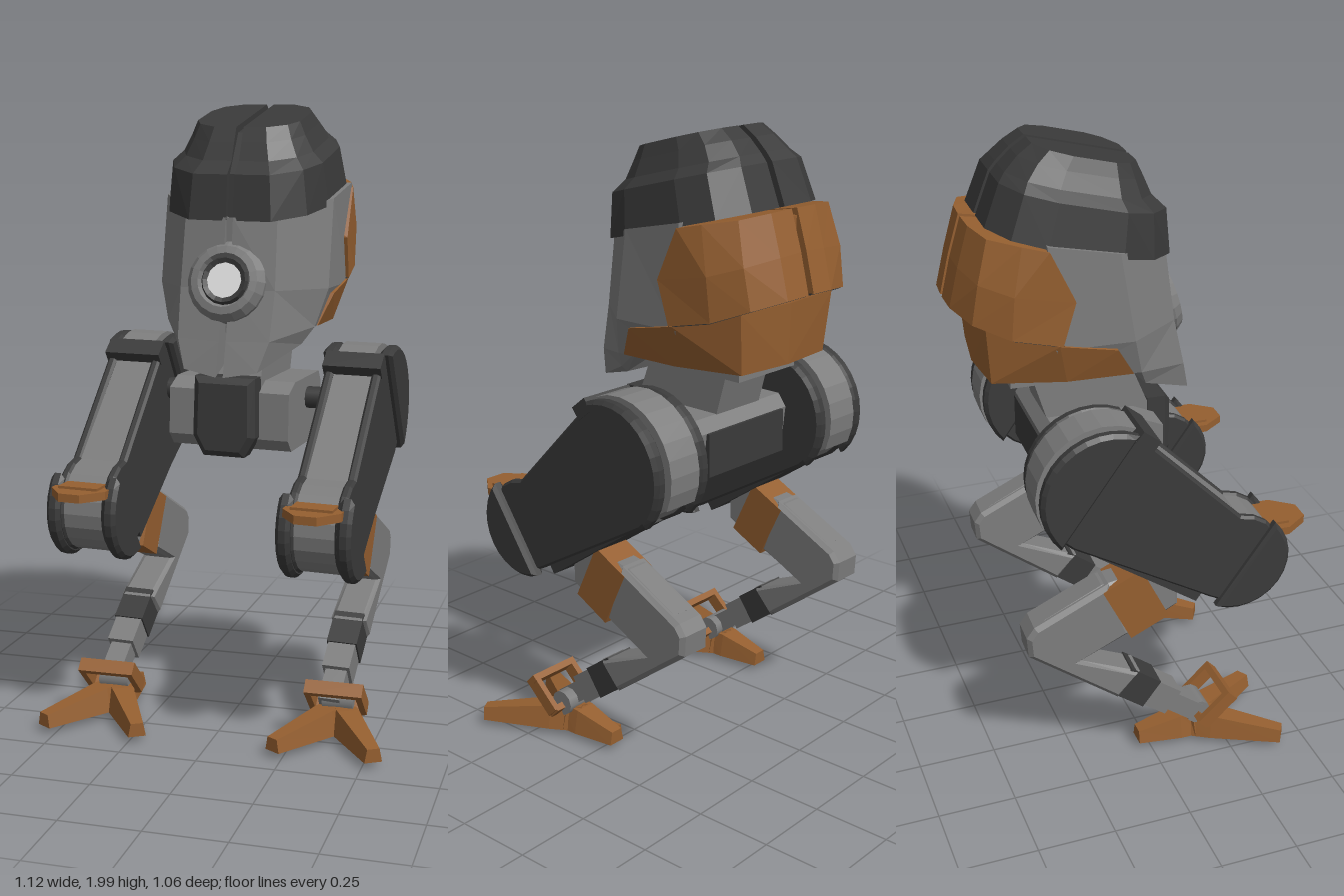
import * as THREE from 'three';

const material = (name, color) => {
  const m = new THREE.MeshStandardMaterial({ color });
  m.name = name;
  return m;
};

export function createModel() {
  const gray = material('gray metal', 0x7d7d7d);
  const dark = material('dark metal', 0x3a3a3a);
  const orange = material('burnt orange', 0x955f30);
  const white = material('lens white', 0xe6e6e6);

  const root = new THREE.Group();
  root.name = 'walker';
  // Upper machine stands slightly turned and leaning over the planted feet
  const machine = new THREE.Group();
  machine.name = 'machine';
  machine.rotation.set(0, -0.046, -0.015);
  machine.position.set(-0.015, 0, -0.006);
  root.add(machine);

  const add = (parent, name, geometry, mat, x = 0, y = 0, z = 0) => {
    const mesh = new THREE.Mesh(geometry, mat);
    mesh.name = name;
    mesh.position.set(x, y, z);
    parent.add(mesh);
    return mesh;
  };
  const box = (parent, name, w, h, d, mat, x, y, z) =>
    add(parent, name, new THREE.BoxGeometry(w, h, d), mat, x, y, z);

  // Faceted solid through rings of points, closed at both ends
  function loft(rings) {
    const n = rings[0].length, pos = [];
    let volume = 0;
    const tri = (a, b, c) => {
      pos.push([a, b, c]);
      volume += new THREE.Vector3(...a).dot(new THREE.Vector3(...b).cross(new THREE.Vector3(...c)));
    };
    for (let r = 0; r < rings.length - 1; r++) {
      for (let i = 0; i < n; i++) {
        const j = (i + 1) % n, A = rings[r], B = rings[r + 1];
        tri(A[i], A[j], B[j]);
        tri(A[i], B[j], B[i]);
      }
    }
    const last = rings[rings.length - 1];
    for (let i = 1; i < n - 1; i++) {
      tri(rings[0][0], rings[0][i + 1], rings[0][i]);
      tri(last[0], last[i], last[i + 1]);
    }
    const flat = pos.map(t => (volume < 0 ? [t[0], t[2], t[1]] : t)).flat(2);
    const g = new THREE.BufferGeometry();
    g.setAttribute('position', new THREE.Float32BufferAttribute(flat, 3));
    g.computeVertexNormals();
    return g;
  }
  const halves = (parent, name, rings, mat) => {
    for (const s of [1, -1])
      add(parent, name + (s > 0 ? 'Left' : 'Right'),
        loft(rings.map(r => r.map(([x, y, z]) => [s * x, y, z]))), mat);
  };

  // Side outline in (z, y), extruded across x and centred
  function sideSolid(points, width, bevel = 0) {
    const shape = new THREE.Shape(points.map(p => new THREE.Vector2(...p)));
    const depth = width - 2 * bevel;
    const g = new THREE.ExtrudeGeometry(shape, {
      depth, bevelEnabled: bevel > 0, bevelThickness: bevel, bevelSize: bevel, bevelOffset: -bevel, bevelSegments: 1,
    });
    return g.translate(0, 0, -depth / 2).rotateY(-Math.PI / 2);
  }
  // Box running between two (z, y) points
  function beam(parent, name, [z0, y0], [z1, y1], w, h, mat) {
    const m = box(parent, name, w, h, Math.hypot(z1 - z0, y1 - y0), mat, 0, (y0 + y1) / 2, (z0 + z1) / 2);
    m.rotation.x = Math.atan2(y0 - y1, z1 - z0);
    return m;
  }
  const arc = ([z, y], r, from, to, n) => Array.from({ length: n + 1 }, (_, i) => {
    const a = from + (to - from) * i / n;
    return [z + r * Math.cos(a), y + r * Math.sin(a)];
  });

  // ---- Head ----
  const head = new THREE.Group();
  head.name = 'head';
  head.position.x = 0.008;
  machine.add(head);
  const gap = 0.012;

  // Tilted split cap
  const cap = new THREE.Group();
  cap.name = 'cap';
  cap.position.set(0, 1.7, -0.125);
  cap.rotation.x = 0.24;
  head.add(cap);
  const capRing = (y, hx, f, b) => [
    [gap, y, f], [hx * 0.5, y, f], [hx * 0.85, y, f * 0.72], [hx, y, f * 0.35],
    [hx, y, b * 0.45], [hx * 0.85, y, b * 0.8], [hx * 0.5, y, b], [gap, y, b]];
  halves(cap, 'capShell', [
    capRing(0, 0.268, 0.293, -0.293), capRing(0.135, 0.25, 0.25, -0.275),
    capRing(0.165, 0.215, 0.2, -0.26), capRing(0.215, 0.188, 0.165, -0.228),
    capRing(0.256, 0.17, 0.134, -0.19)], dark);
  add(cap, 'capSeam', sideSolid([[0.27, 0], [0.225, 0.13], [0.12, 0.235], [-0.185, 0.235], [-0.25, 0.13], [-0.27, 0]], 0.026), dark);

  // Face shell with a hanging chin
  halves(head, 'faceShell', [
    [[gap, 1.64, 0.16], [0.15, 1.655, 0.14], [0.28, 1.70, -0.04], [0.282, 1.745, -0.26], [gap, 1.745, -0.26]],
    [[gap, 1.42, 0.18], [0.155, 1.42, 0.17], [0.282, 1.42, 0.005], [0.28, 1.42, -0.24], [gap, 1.42, -0.24]],
    [[gap, 1.26, 0.215], [0.15, 1.265, 0.205], [0.248, 1.30, 0.035], [0.24, 1.31, -0.2], [gap, 1.31, -0.2]],
    [[gap, 1.15, 0.24], [0.12, 1.17, 0.23], [0.212, 1.245, 0.06], [0.2, 1.305, 0], [gap, 1.305, 0]]], gray);
  box(head, 'faceSeam', 0.026, 0.36, 0.3, gray, 0, 1.46, 0.0);

  // Rear armour with a dark underside, and jaw
  const armourRim = [[0.29, 1.435, -0.22], [0.272, 1.465, -0.37], [0.215, 1.505, -0.475], [0.1, 1.522, -0.518], [gap, 1.525, -0.523], [gap, 1.435, -0.2]];
  halves(head, 'rearArmour', [
    [[0.288, 1.73, -0.255], [0.262, 1.745, -0.33], [0.205, 1.76, -0.42], [0.1, 1.77, -0.452], [gap, 1.772, -0.456], [gap, 1.73, -0.2]],
    [[0.292, 1.57, -0.18], [0.277, 1.60, -0.36], [0.222, 1.63, -0.455], [0.1, 1.645, -0.488], [gap, 1.65, -0.493], [gap, 1.57, -0.16]],
    armourRim], orange);
  halves(head, 'armourUnderside', [0.002, -0.004].map(dy =>
    armourRim.map(([x, y, z]) => [x * 0.985, y + dy, z * 0.985])), dark);
  box(head, 'rearSeam', 0.026, 0.24, 0.25, orange, 0, 1.63, -0.33);
  for (const s of [1, -1])
    add(head, 'jaw', loft([
      [[0.286, 1.40, -0.05], [0.287, 1.435, -0.23], [0.21, 1.49, -0.435], [0, 1.49, -0.45], [0, 1.42, -0.05]],
      [[0.25, 1.30, 0.01], [0.245, 1.30, -0.2], [0.19, 1.30, -0.42], [0, 1.30, -0.44], [0, 1.30, 0.01]],
    ].map(r => r.map(([x, y, z]) => [s * x, y, z]))), orange);

  // Eye, tipped slightly upward
  const eye = new THREE.Group();
  eye.name = 'eye';
  eye.position.set(0, 1.447, 0.19);
  eye.rotation.x = Math.PI / 2 - 0.26;
  head.add(eye);
  const lathe = (pts, n) => {
    const g = new THREE.LatheGeometry(pts.map(p => new THREE.Vector2(...p)), n).toNonIndexed();
    g.computeVertexNormals();
    return g;
  };
  add(eye, 'eyeRing', lathe([[0.127, -0.06], [0.127, -0.01], [0.108, 0.016], [0.085, 0.02], [0.075, 0.003]], 20), gray);
  add(eye, 'eyeInnerRing', lathe([[0.078, 0.003], [0.07, 0.018], [0.055, 0.012], [0.053, 0]], 16), dark);
  add(eye, 'lens', new THREE.CylinderGeometry(0.056, 0.056, 0.009, 12), white, 0, 0.008, 0);

  // ---- Neck and pelvis ----
  box(machine, 'neckPlate', 0.26, 0.06, 0.3, gray, 0, 1.28, -0.2);
  add(machine, 'neck', sideSolid([[0.03, 1.28], [-0.28, 1.28], [-0.22, 1.08], [0.12, 1.08], [0.05, 1.25]], 0.2), gray);
  add(machine, 'pelvis', sideSolid([[0.12, 1.09], [0.05, 1.12], [-0.23, 1.12], [-0.26, 1.08], [-0.24, 0.93], [-0.19, 0.9], [0.08, 0.9], [0.12, 0.94]], 0.4), gray);
  const bulge = new THREE.Shape([[-0.1, 1.14], [-0.104, 0.95], [-0.068, 0.885], [0.068, 0.885], [0.104, 0.95], [0.1, 1.14]]
    .reverse().map(p => new THREE.Vector2(...p)));
  add(machine, 'pelvisFront', new THREE.ExtrudeGeometry(bulge, {
    depth: 0.06, bevelThickness: 0.02, bevelSize: 0.02, bevelOffset: -0.02, bevelSegments: 1,
  }), dark, 0, 0, 0.1);
  box(machine, 'pelvisBackPanel', 0.35, 0.14, 0.04, dark, 0, 1.01, -0.25);
  add(machine, 'hipAxle', new THREE.CylinderGeometry(0.036, 0.036, 0.62, 10).rotateZ(Math.PI / 2), dark, 0, 1.05, -0.1);

  // ---- Legs ----
  const hip = [-0.138, 1.015], knee = [0.278, 0.722];
  const axis = Math.atan2(knee[1] - hip[1], knee[0] - hip[0]);
  // Rounded bar, slightly waisted above the knee
  const capsule = (r1, r2) => [
    ...arc(knee, r2, axis - Math.PI / 2, axis + Math.PI / 2 + 0.55, 12),
    ...arc(hip, r1, axis + Math.PI / 2 - 0.1, axis + 1.5 * Math.PI, 12)];

  for (const s of [1, -1]) {
    const leg = new THREE.Group();
    leg.name = s > 0 ? 'leftLeg' : 'rightLeg';
    leg.position.x = s * 0.374;
    machine.add(leg);

    // Thigh: pale core between dark side plates, with thick end rims
    add(leg, 'thighCore', sideSolid(capsule(0.19, 0.145), 0.15), gray);
    add(leg, 'hipDrum', sideSolid(arc(hip, 0.22, axis + 1.75, axis + 4.2, 10), 0.12), gray);
    for (const e of [1, -1]) {
      add(leg, 'thighPlate', sideSolid(capsule(0.2, 0.152), 0.03, 0.008), dark).position.x = e * 0.077;
      add(leg, 'hipRim', sideSolid(arc(hip, 0.215, axis + 1.75, axis + 4.53, 14), 0.045, 0.012), dark).position.x = e * 0.092;
      add(leg, 'kneeRim', sideSolid(arc(knee, 0.168, axis - 1.4, axis + 1.4, 12), 0.045, 0.012), dark).position.x = e * 0.094;
    }
    beam(leg, 'thighUnderside', [-0.18, 0.84], [0.16, 0.61], 0.17, 0.05, dark);
    beam(leg, 'thighBand', [-0.045, 1.199], [0.008, 1.158], 0.19, 0.045, dark);

    // Knee guard
    const guard = new THREE.Shape([[-0.09, -0.33], [0.09, -0.33], [0.09, -0.44], [0.035, -0.512], [-0.035, -0.512], [-0.09, -0.44]]
      .map(p => new THREE.Vector2(...p)));
    add(leg, 'kneeGuard', new THREE.ExtrudeGeometry(guard, { depth: 0.026, bevelEnabled: false })
      .rotateX(-Math.PI / 2), orange, 0, 0.782, 0.012);
    box(leg, 'kneeGuardTop', 0.13, 0.012, 0.08, orange, 0, 0.81, 0.42);

    // Shin bending backwards, with clamp and cuff
    add(leg, 'shinUpper', sideSolid([[0.1, 0.72], [-0.15, 0.675], [-0.34, 0.58], [-0.25, 0.43], [0, 0.505], [0.1, 0.56]], 0.092, 0.01), gray);
    add(leg, 'shinLower', sideSolid([[-0.13, 0.682], [-0.37, 0.565], [-0.395, 0.53], [-0.39, 0.462],
      [-0.1, 0.245], [-0.025, 0.33], [-0.225, 0.415], [-0.06, 0.488]], 0.118, 0.014), gray);
    beam(leg, 'shinClamp', [0.02, 0.628], [-0.105, 0.566], 0.12, 0.205, orange);
    beam(leg, 'shinCuff', [-0.085, 0.305], [0.015, 0.232], 0.1, 0.105, dark);
    beam(leg, 'ankleSleeve', [0, 0.243], [0.09, 0.178], 0.09, 0.095, gray);
    beam(leg, 'ankleShaft', [0.05, 0.205], [0.18, 0.11], 0.07, 0.065, gray);

    // Foot: two spread front toes, a heel spur and a staple-shaped guard
    const foot = new THREE.Group();
    foot.name = s > 0 ? 'leftFoot' : 'rightFoot';
    foot.position.set(s * 0.378, 0, 0.15);
    root.add(foot);
    const section = (x, z, dx, dz, w, y0, y1) => {
      const l = Math.hypot(dx, dz), px = dz / l * w / 2, pz = -dx / l * w / 2;
      return [[x - px, y0, z - pz], [x + px, y0, z + pz], [x + px * 0.7, y1, z + pz * 0.7], [x - px * 0.7, y1, z - pz * 0.7]];
    };
    const toe = (name, x, z, rootWidth, tipWidth) => add(foot, name, loft([
      section(-x * 0.1, -z * 0.1, x, z, rootWidth, 0.022, 0.105),
      section(x * 0.25, z * 0.25, x, z, rootWidth, 0.022, 0.1),
      section(x, z, x, z, tipWidth, 0.022, 0.065)]), orange);
    toe('outerToe', s * 0.158, 0.265, 0.1, 0.057);
    toe('innerToe', -s * 0.158, 0.265, 0.1, 0.057);
    toe('heelSpur', 0, -0.19, 0.1, 0.06);
    if (s > 0) box(foot, 'sole', 0.07, 0.024, 0.16, orange, -s * 0.04, 0.02, -0.06).rotation.set(0.04, 0, -0.12);
    add(foot, 'ankleJoint', new THREE.CylinderGeometry(0.042, 0.042, 0.1, 10).rotateZ(Math.PI / 2), gray, 0, 0.115, 0.01);

    const guardGroup = new THREE.Group();
    guardGroup.name = 'ankleGuard';
    guardGroup.position.set(0, 0.095, 0.015);
    guardGroup.rotation.x = 0.82;
    foot.add(guardGroup);
    box(guardGroup, 'guardBar', 0.185, 0.022, 0.045, orange, 0, 0.124, 0);
    for (const e of [1, -1]) box(guardGroup, 'guardArm', 0.02, 0.125, 0.045, orange, e * 0.082, 0.06, 0);
    box(guardGroup, 'guardBase', 0.17, 0.022, 0.045, orange, 0, 0.002, 0);
  }
  return root;
}
